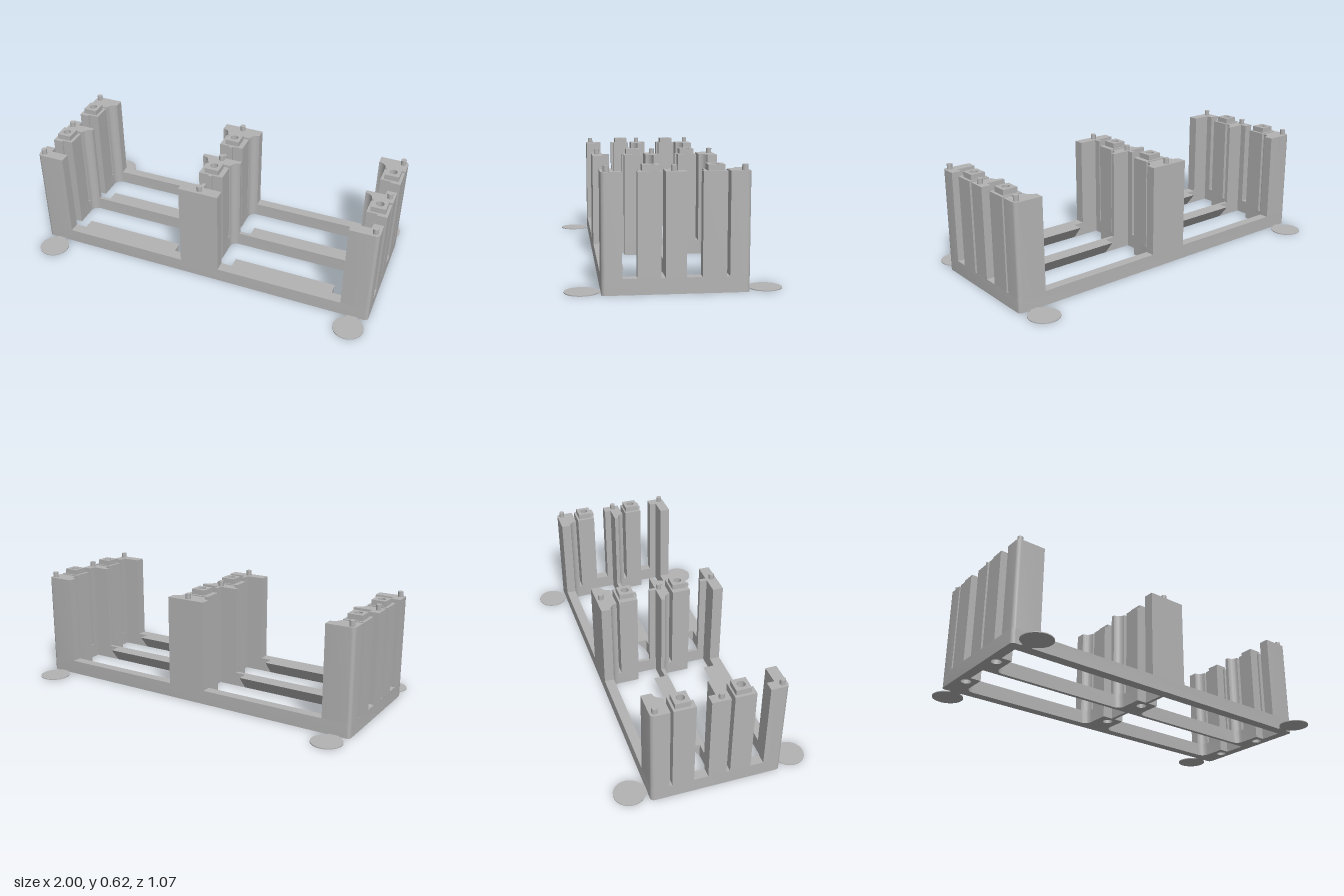
import * as THREE from 'three';
import { toCreasedNormals } from 'three/addons/utils/BufferGeometryUtils.js';

const BASE = 0.08, TOP = 0.59, PEG = 0.62;

export function createModel() {
  const group = new THREE.Group();
  const grey = new THREE.MeshStandardMaterial({ color: 0xb3b3b3 });
  grey.name = 'grey plastic';

  const add = (name, geo) => {
    const mesh = new THREE.Mesh(geo, grey);
    mesh.name = name;
    group.add(mesh);
    return mesh;
  };
  // Plans are lists of [x, z]; they are extruded upwards from y0 to y1
  const toPath = (Type, pts) => new Type(pts.map(([x, z]) => new THREE.Vector2(x, -z)));
  const circle = (x, z, r) => new THREE.Path().absarc(x, -z, r, 0, Math.PI * 2);
  const raise = (name, pts, holes, y0, y1) => {
    const shape = toPath(THREE.Shape, pts);
    shape.holes.push(...holes);
    const geo = new THREE.ExtrudeGeometry(shape, { depth: y1 - y0, bevelEnabled: false, curveSegments: 16 });
    geo.rotateX(-Math.PI / 2).translate(0, y0, 0);
    return add(name, toCreasedNormals(geo, 0.5));
  };
  const arc = (cx, cz, rx, rz, a0, a1, n = 8) =>
    Array.from({ length: n + 1 }, (_, i) => {
      const a = a0 + ((a1 - a0) * i) / n;
      return [cx + rx * Math.cos(a), cz + rz * Math.sin(a)];
    });
  // Concave fillet from a wide plate to a narrower post
  const fillet = (z0, z1) => arc(0.115, z1, 0.045, z1 - z0, -Math.PI / 2, -Math.PI);

  // Half outlines of the five uprights, as [distance from spine, z]
  const uprights = [
    { name: 'backColumn', edge: [[0.115, -0.36], ...fillet(-0.305, -0.26)] },
    { name: 'backHolder', edge: [[0.07, -0.245], [0.07, -0.139], [0.01, -0.139], [0.01, -0.127]], hole: -0.192 },
    { name: 'middleColumn', edge: [[0.01, -0.049], [0.01, -0.011], [0.115, -0.011], ...fillet(0.011, 0.052)] },
    { name: 'frontHolder', edge: [[0.07, 0.072], [0.07, 0.175], [0.01, 0.175], [0.01, 0.187]], hole: 0.122 },
    { name: 'frontColumn', edge: [[0.01, 0.26], [0.01, 0.3], [0.115, 0.3], [0.115, 0.36]] },
  ];
  const R = 0.02; // outer corner radius
  const outerEdge = (z0, z1) => [
    ...(z1 > 0.35 ? arc(1 - R, z1 - R, R, R, Math.PI / 2, 0, 5) : [[1, z1]]),
    ...(z0 < -0.35 ? arc(1 - R, z0 + R, R, R, 0, -Math.PI / 2, 5) : [[1, z0]]),
  ];

  // Three rows of uprights: left, centre and right
  for (const side of [-1, 0, 1]) {
    const holeX = side * 0.943;
    for (const { name, edge, hole } of uprights) {
      const z0 = edge[0][1], z1 = edge[edge.length - 1][1];
      const pts = side === 0
        ? [...edge, ...edge.map(([d, z]) => [-d, z]).reverse()]
        : [...edge.map(([d, z]) => [0.955 - d, z]), ...outerEdge(z0, z1)].map(([x, z]) => [x * side, z]);
      raise(name, pts, hole ? [circle(holeX, hole, 0.022)] : [], BASE, TOP);
      // Square cap with a bore
      if (hole) {
        const s = 0.041;
        const square = [[-s, -s], [s, -s], [s, s], [-s, s]].map(([x, z]) => [holeX + x, hole + z]);
        raise('holderCap', square, [circle(holeX, hole, 0.022)], TOP, PEG);
      }
    }
    // Locating pegs
    for (const z of [-0.332, 0.01, 0.332]) {
      const peg = add('peg', new THREE.CylinderGeometry(0.015, 0.015, PEG - TOP, 20));
      peg.position.set(side * 0.973, (TOP + PEG) / 2, z);
    }
  }

  // Base frame with four openings and six bores
  const cell = (s, zBack, zFront, zPost, zHolder) => toPath(THREE.Path, [
    [0.945, zFront], [0.945, zHolder], [0.885, zHolder],
    ...fillet(zBack, zPost).map(([d, z]) => [0.955 - d, z]).reverse(),
    ...fillet(zBack, zPost),
    [0.07, zHolder], [0.01, zHolder], [0.01, zFront],
  ].map(([x, z]) => [x * s, z]));
  const openings = [];
  for (const s of [-1, 1]) {
    openings.push(cell(s, -0.305, -0.011, -0.26, -0.139), cell(s, 0.011, 0.3, 0.052, 0.175));
  }
  for (const x of [-0.943, 0, 0.943]) {
    for (const z of [-0.192, 0.122]) openings.push(circle(x, z, 0.028));
  }
  const right = outerEdge(-0.36, 0.36);
  raise('baseFrame', [...right, ...right.map(([x, z]) => [-x, z]).reverse()], openings, 0, BASE);

  // Wedge ledges on the back of the front and middle rails
  for (const z of [-0.011, 0.3]) {
    const wedge = new THREE.Shape([
      new THREE.Vector2(z, 0), new THREE.Vector2(z, BASE), new THREE.Vector2(z - 0.065, BASE),
    ]);
    for (const x of [0.775, -0.18]) {
      const geo = new THREE.ExtrudeGeometry(wedge, { depth: 0.595, bevelEnabled: false });
      add('ledge', geo.rotateY(-Math.PI / 2).translate(x, 0, 0));
    }
  }

  // Thin round corner feet, each joined by a short neck
  for (const x of [-0.915, 0.915]) {
    for (const s of [-1, 1]) {
      add('footDisc', new THREE.CylinderGeometry(0.085, 0.085, 0.005, 48)).position.set(x, 0.0025, s * 0.452);
      add('footNeck', new THREE.BoxGeometry(0.06, 0.005, 0.03)).position.set(x, 0.0025, s * 0.37);
    }
  }
  return group;
}
